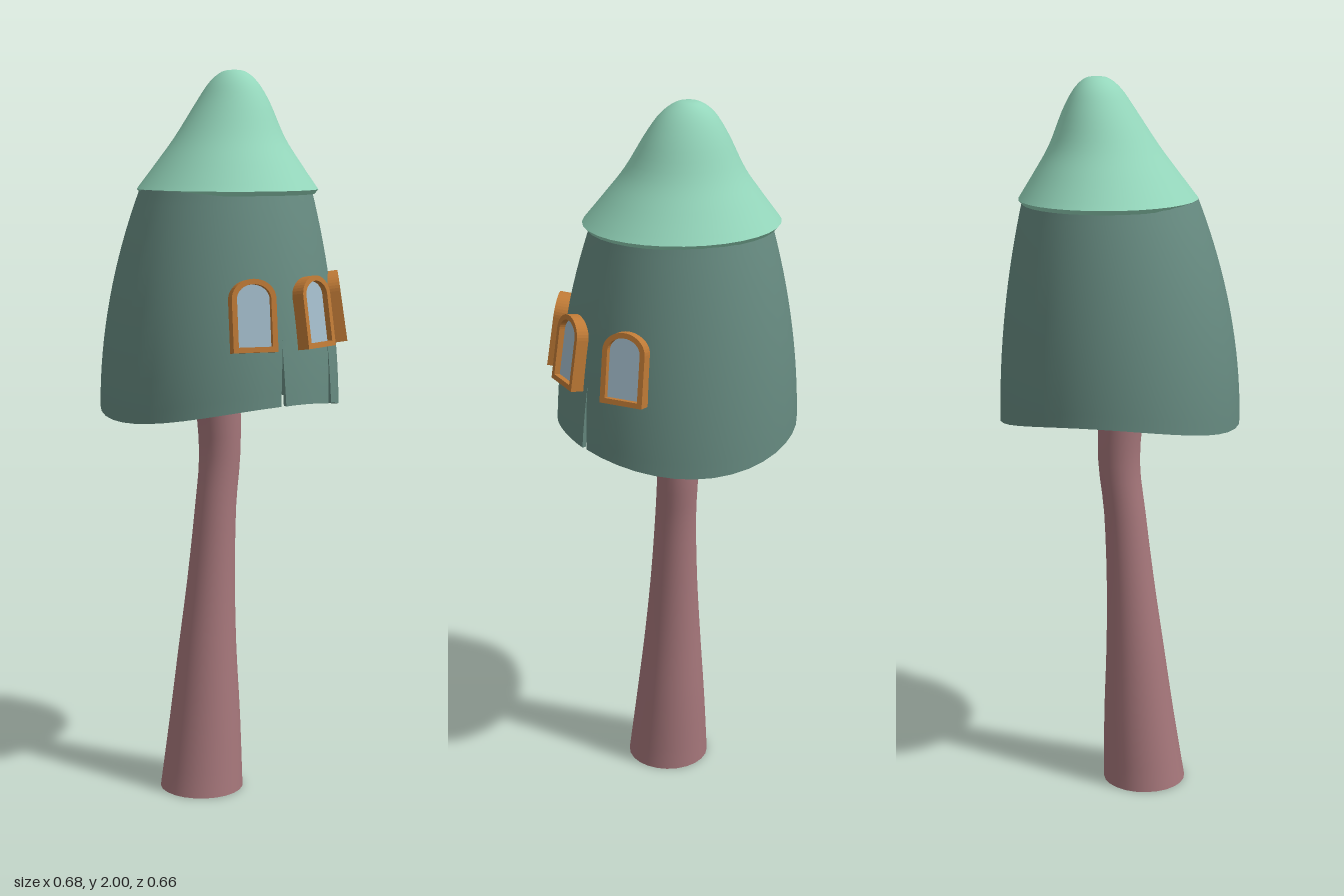
import * as THREE from 'three';
import { mergeGeometries, mergeVertices } from 'three/addons/utils/BufferGeometryUtils.js';

const flat = (name, color) => Object.assign(new THREE.MeshStandardMaterial({ color }), { name });
const rad = THREE.MathUtils.degToRad;
const lerp = THREE.MathUtils.lerp;

// Grid surface: fn(u, v) -> [x, y, z]; the front side faces (dv x du)
function surface(fn, nu, nv) {
  const pos = [], index = [];
  for (let j = 0; j <= nv; j++)
    for (let i = 0; i <= nu; i++) pos.push(...fn(i / nu, j / nv));
  for (let j = 0; j < nv; j++)
    for (let i = 0; i < nu; i++) {
      const a = j * (nu + 1) + i, c = a + nu + 1;
      index.push(a, c, a + 1, a + 1, c, c + 1);
    }
  const g = new THREE.BufferGeometry();
  g.setAttribute('position', new THREE.Float32BufferAttribute(pos, 3));
  g.setIndex(index);
  return g;
}

// Weld surfaces into one smoothly shaded geometry
function smooth(...list) {
  const g = mergeVertices(mergeGeometries(list), 1e-4);
  g.computeVertexNormals();
  return g;
}

// Round loft through rings [y, centreX, centreZ, radiusX, radiusZ]
function loft(rings, rows, seg = 32) {
  const centres = new THREE.CatmullRomCurve3(
    rings.map(([y, x, z]) => new THREE.Vector3(x, y, z)), false, 'catmullrom');
  const radii = new THREE.CatmullRomCurve3(
    rings.map(([, , , rx, rz = rx]) => new THREE.Vector3(rx, rz, 0)), false, 'catmullrom');
  return smooth(surface((u, v) => {
    const c = centres.getPoint(v), r = radii.getPoint(v), a = u * Math.PI * 2;
    return [c.x + r.x * Math.cos(a), c.y, c.z + r.y * Math.sin(a)];
  }, seg, rows));
}

// Bell-shaped cap wall: point at an angle and height, inset by the shell thickness
const TOP = 1.68, THICK = 0.012;
function wallPoint(angle, y, inset = 0) {
  const k = (y - 1.07) / 0.61, r = 0.33 - 0.095 * k * k - inset;
  return [-0.012 - 0.006 * k + r * Math.cos(angle), y, -0.025 * k * k + r * Math.sin(angle)];
}

// Wall panel between two slits; the rim arches up at the sides
function panelPoint(a, b, u, t, inset) {
  const base = lerp(a, b, u);
  const y = lerp(1.07 + 0.055 * Math.cos(base) ** 2, TOP, t);
  const gap = 0.025 * Math.max(0, (1.28 - y) / 0.16);
  return wallPoint(lerp(a + gap, b - gap, u), y, inset);
}

// Arched window outline, inset by a border
function arch(Type, border) {
  const w = 0.06 - border, s = new Type();
  s.moveTo(-w, border);
  s.lineTo(w, border);
  s.lineTo(w, 0.138);
  s.absellipse(0, 0.138, w, 0.052 - border, 0, Math.PI, false, 0);
  s.lineTo(-w, border);
  return s;
}

export function createModel() {
  const model = new THREE.Group();
  model.name = 'mushroomHouse';
  const mint = flat('mintRoof', 0x94d6bb);
  const green = flat('darkGreenWall', 0x668a80);
  const pink = flat('dustyPinkStem', 0xa5767a);
  const wood = flat('orangeWood', 0xbf7a36);
  const glass = flat('blueGreyGlass', 0xa3bccb);
  const add = (parent, name, geometry, material) => {
    const m = new THREE.Mesh(geometry, material);
    m.name = name;
    parent.add(m);
    return m;
  };

  // Curved stem, flaring at the foot
  add(model, 'stem', loft([
    [0, -0.003, 0.07, 0.117], [0.2, -0.007, 0.055, 0.1], [0.4, -0.01, 0.044, 0.082],
    [0.6, -0.011, 0.03, 0.067], [0.8, -0.012, 0.014, 0.058], [0.95, -0.014, -0.002, 0.058],
    [1.12, -0.014, 0.005, 0.063], [1.4, -0.014, 0.02, 0.063], [1.668, -0.015, 0.03, 0.06],
  ], 24, 24), pink);
  add(model, 'stemFoot', loft([[0, -0.003, 0.07, 0], [0, -0.003, 0.07, 0.117]], 1, 24), pink);

  // Cap wall: two thin panels parted by narrow slits at the rim
  const s1 = rad(-28.5), s2 = rad(5.3);
  const outer = [], inner = [], edges = [];
  for (const [a, b, n] of [[s1, s2, 6], [s2, s1 + Math.PI * 2, 36]]) {
    outer.push(surface((u, v) => panelPoint(a, b, u, v, 0), n, 16));
    inner.push(surface((u, v) => panelPoint(a, b, u, 1 - v, THICK), n, 16));
    edges.push(smooth(surface((u, v) => panelPoint(a, b, u, 0, THICK * (1 - v)), n, 1)));
    edges.push(smooth(surface((u, v) => panelPoint(a, b, 1, u, THICK * (1 - v)), 16, 1)));
    edges.push(smooth(surface((u, v) => panelPoint(a, b, 0, u, THICK * v), 16, 1)));
  }
  const wall = new THREE.Group();
  wall.name = 'capWall';
  model.add(wall);
  add(wall, 'wallOutside', smooth(...outer), green);
  add(wall, 'wallInside', smooth(...inner), green);
  add(wall, 'wallEdges', mergeGeometries(edges), green);

  // Pointed roof with a thin lip and a closed underside
  add(model, 'roof', loft([
    [1.68, -0.018, -0.03, 0.2625, 0.24], [1.75, -0.02, -0.035, 0.208, 0.192],
    [1.82, -0.022, -0.041, 0.157, 0.146], [1.91, -0.024, -0.053, 0.109, 0.098],
    [1.965, -0.026, -0.057, 0.072, 0.064], [1.994, -0.027, -0.059, 0.034, 0.032],
    [2, -0.027, -0.06, 0],
  ], 24), mint);
  add(model, 'roofLip', loft([
    [1.668, -0.018, -0.03, 0.252, 0.23], [1.68, -0.018, -0.03, 0.2625, 0.24],
  ], 1), mint);
  add(model, 'roofUnderside', loft([
    [1.668, -0.018, -0.03, 0], [1.668, -0.018, -0.03, 0.252, 0.23],
  ], 1), mint);

  // Three arched windows leaning with the wall
  const frameShape = arch(THREE.Shape, 0);
  frameShape.holes.push(arch(THREE.Path, 0.014));
  const frameGeometry = new THREE.ExtrudeGeometry(frameShape, {
    depth: 0.036, bevelEnabled: false, curveSegments: 10,
  });
  const paneGeometry = new THREE.ShapeGeometry(arch(THREE.Shape, 0.012), 10);
  for (const degrees of [20.5, -14.8, -51.5]) {
    const w = new THREE.Group();
    w.name = 'window';
    w.position.set(...wallPoint(rad(degrees), 1.268, 0.006));
    w.rotation.set(rad(-8.5), Math.PI / 2 - rad(degrees), 0, 'YXZ');
    add(w, 'windowFrame', frameGeometry, wood);
    add(w, 'windowPane', paneGeometry, glass).position.z = 0.02;
    model.add(w);
  }
  return model;
}
